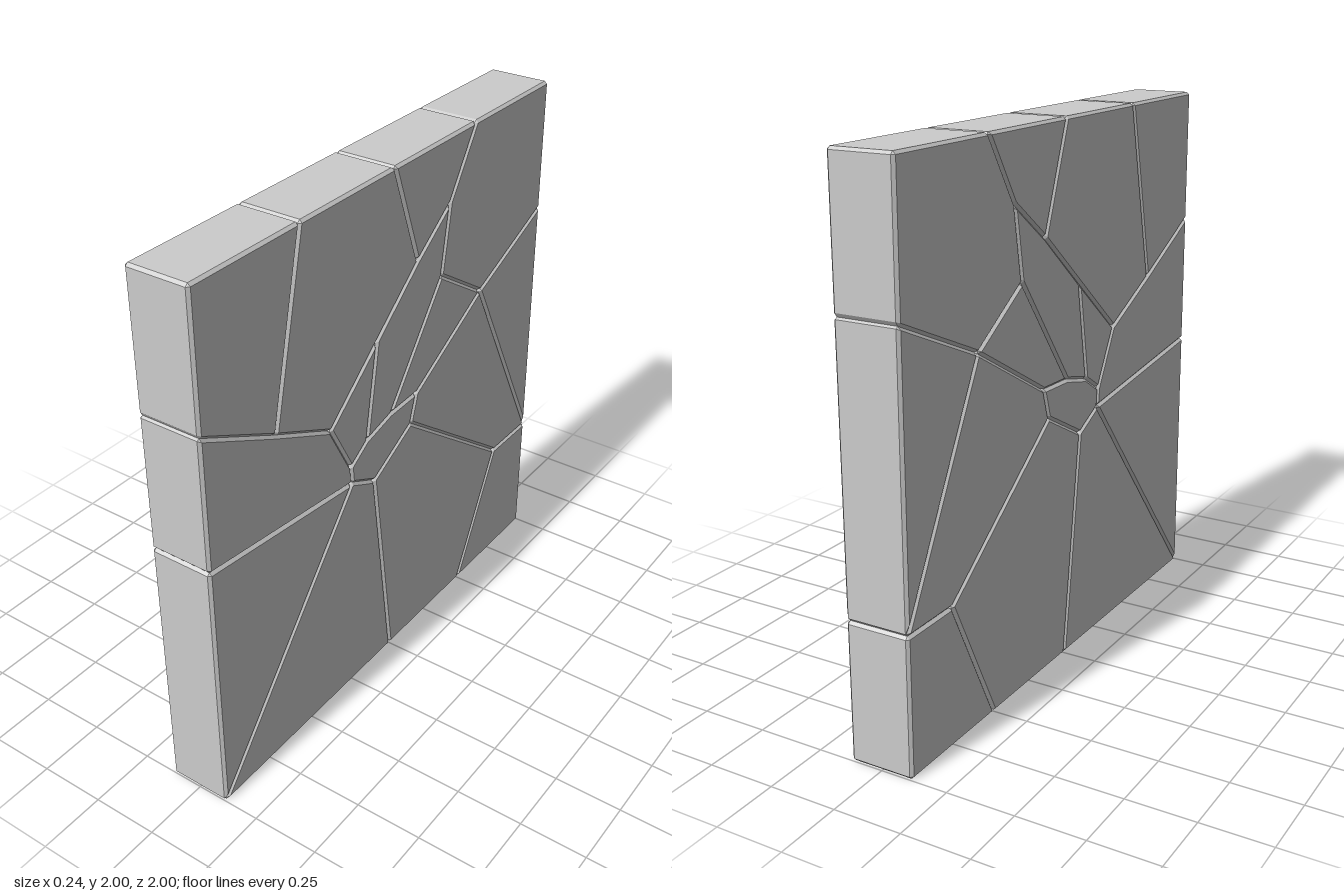
import * as THREE from 'three';

const HALF = 0.12;   // half thickness of the wall
const BEVEL = 0.01;  // width of the chamfer on every edge

// Crack junctions as [z, y]
const P = {
  topFront: [1, 2], topA: [0.5, 2], topB: [0, 2], topC: [-0.5, 2], topBack: [-1, 2],
  frontA: [1, 1.5], frontB: [1, 1], bottomFront: [1, 0],
  backA: [-1, 1.5], backB: [-1, 0.505], bottomBack: [-1, 0],
  bottomA: [0, 0], bottomB: [-0.5, 0],
  a: [0.65, 1.325], b: [0.365, 1.19], c: [0.25, 0.98], d: [0.243, 0.91],
  e: [0.11, 0.845], f: [-0.12, 0.967], g: [-0.155, 1.08], h: [0.01, 1.075],
  i: [0.155, 1.04], j: [0.095, 1.41], k: [-0.145, 1.61], l: [-0.345, 1.755],
  m: [-0.3, 1.49], n: [-0.575, 1.315], o: [-0.75, 0.505],
};

// Each shard as a loop of junctions
const SHARDS = {
  topFrontShard: 'topFront topA a frontA',
  topMiddleShard: 'topA topB k b a',
  topWedgeShard: 'topB topC l k',
  topBackShard: 'topC topBack backA n m l',
  frontUpperShard: 'frontA a b c d frontB',
  frontLowerShard: 'frontB d bottomFront',
  bottomFrontShard: 'bottomFront d e bottomA',
  bottomMiddleShard: 'bottomA e f o bottomB',
  bottomBackShard: 'bottomB o backB bottomBack',
  backLowerShard: 'o f g n backB',
  backUpperShard: 'backA n backB',
  innerBackShard: 'g h m n',
  innerLongShard: 'h i j k l m',
  innerFrontShard: 'i j b c',
  centreShard: 'c d e f g h i',
};

// Prism with all edges chamfered, from a polygon seen from +x
function shardGeometry(loop) {
  const pts = loop.map(([z, y]) => new THREE.Vector2(-z, y));
  if (THREE.ShapeUtils.isClockWise(pts)) pts.reverse();
  const n = pts.length;
  const cap = [], side = [];
  pts.forEach((p, i) => {
    const d1 = p.clone().sub(pts[(i + n - 1) % n]).normalize();
    const d2 = pts[(i + 1) % n].clone().sub(p).normalize();
    const n1 = new THREE.Vector2(-d1.y, d1.x), n2 = new THREE.Vector2(-d2.y, d2.x);
    const inset = n1.clone().add(n2).multiplyScalar(BEVEL / (1 + n1.dot(n2)));
    cap.push(p.clone().add(inset));
    side.push(p.clone().addScaledVector(d1, -BEVEL), p.clone().addScaledVector(d2, BEVEL));
  });

  const pos = [];
  const put = (p, x) => pos.push(x, p.y, -p.x);
  const tri = (a, xa, b, xb, c, xc) => { put(a, xa); put(b, xb); put(c, xc); };
  const w = HALF - BEVEL;

  // Two large faces
  for (const [a, b, c] of THREE.ShapeUtils.triangulateShape(cap, [])) {
    tri(cap[a], HALF, cap[b], HALF, cap[c], HALF);
    tri(cap[a], -HALF, cap[c], -HALF, cap[b], -HALF);
  }
  // Rim walls, chamfers and corner triangles
  for (let k = 0; k < 2 * n; k++) {
    const a = side[k], b = side[(k + 1) % (2 * n)];
    const ca = cap[k >> 1], cb = cap[((k + 1) >> 1) % n];
    tri(a, -w, b, -w, b, w);
    tri(a, -w, b, w, a, w);
    tri(a, w, b, w, cb, HALF);
    tri(b, -w, a, -w, cb, -HALF);
    if (ca !== cb) {
      tri(a, w, cb, HALF, ca, HALF);
      tri(a, -w, ca, -HALF, cb, -HALF);
    }
  }
  const geo = new THREE.BufferGeometry();
  geo.setAttribute('position', new THREE.Float32BufferAttribute(pos, 3));
  geo.computeVertexNormals();
  return geo;
}

export function createModel() {
  const group = new THREE.Group();
  group.name = 'crackedWall';
  const material = new THREE.MeshStandardMaterial({ color: 0xcccccc, flatShading: true });
  for (const [name, keys] of Object.entries(SHARDS)) {
    const mesh = new THREE.Mesh(shardGeometry(keys.split(' ').map((k) => P[k])), material);
    mesh.name = name;
    group.add(mesh);
  }
  return group;
}
